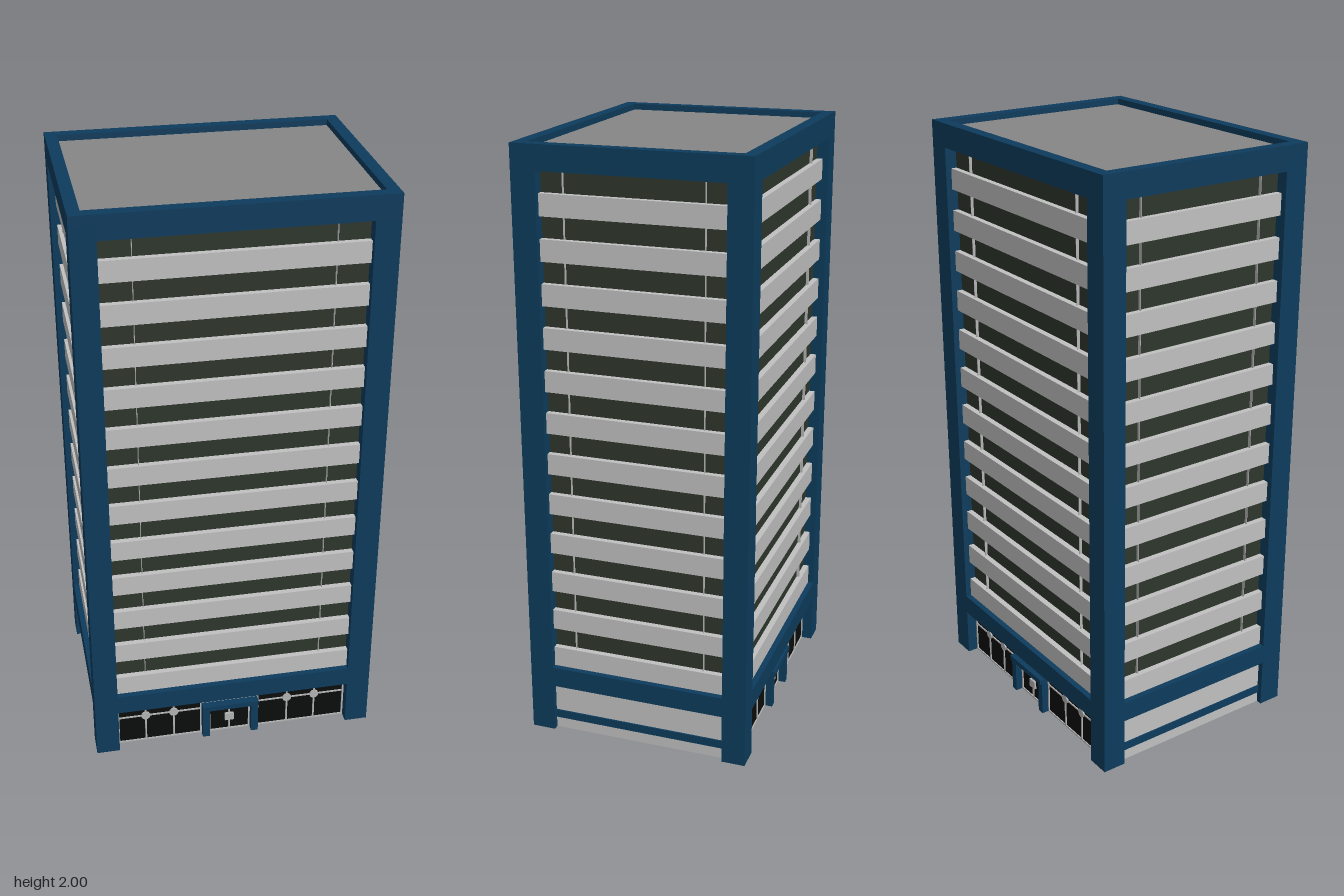
import * as THREE from 'three';

const mat = (name, color) => {
  const m = new THREE.MeshStandardMaterial({ color });
  m.name = name;
  return m;
};

export function createModel() {
  const blue = mat('navy frame', 0x0d3b5c);
  const light = mat('pale panel', 0xc0c0c0);
  const glass = mat('window glass', 0x2e362c);
  const black = mat('shop glass', 0x0b0c0c);
  const metal = mat('metal trim', 0xb4b4b4);
  const grey = mat('roof grey', 0x868686);

  const W = 0.49, D = 0.38, P = 0.08; // half width, half depth, pillar size
  const FLOORS = 12, Y0 = 0.24, PITCH = 0.14;
  const model = new THREE.Group();
  model.name = 'officeTower';

  // Box given by its limits on each axis
  const box = (parent, name, m, x0, x1, y0, y1, z0, z1) => {
    const mesh = new THREE.Mesh(new THREE.BoxGeometry(x1 - x0, y1 - y0, z1 - z0), m);
    mesh.position.set((x0 + x1) / 2, (y0 + y1) / 2, (z0 + z1) / 2);
    mesh.name = name;
    parent.add(mesh);
  };

  // Horizontal ring around the whole plan
  const ring = (name, y0, y1, t) => {
    const rect = (C, w, d) => new C([[-w, -d], [w, -d], [w, d], [-w, d]].map(p => new THREE.Vector2(...p)));
    const shape = rect(THREE.Shape, W, D);
    shape.holes.push(rect(THREE.Path, W - t, D - t));
    const geo = new THREE.ExtrudeGeometry(shape, { depth: y1 - y0, bevelEnabled: false });
    geo.rotateX(-Math.PI / 2);
    const mesh = new THREE.Mesh(geo, blue);
    mesh.position.y = y0;
    mesh.name = name;
    model.add(mesh);
  };

  // Frame: corner pillars, parapet, belt and roof
  for (const sx of [-1, 1]) for (const sz of [-1, 1]) {
    const x = sx * (W - P / 2), z = sz * (D - P / 2);
    box(model, 'cornerPillar', blue, x - P / 2, x + P / 2, 0, 1.97, z - P / 2, z + P / 2);
  }
  ring('parapet', 1.92, 2, 0.04);
  ring('belt', 0.17, Y0, 0.05);
  box(model, 'roof', grey, -W + 0.04, W - 0.04, 1.972, 1.98, -D + 0.04, D - 0.04);

  // Upper storeys of one side, facing +z with its outer plane at z = d
  const addStoreys = (g, h, d) => {
    for (let i = 0; i < FLOORS; i++) {
      const y = Y0 + i * PITCH;
      box(g, 'spandrel', light, -h, h, y, y + 0.07, d - 0.05, d - 0.02);
      box(g, 'windowBand', glass, -h, h, y + 0.07, y + PITCH, d - 0.046, d - 0.04);
      for (const x of [-0.75 * h, 0.75 * h])
        box(g, 'windowFin', metal, x - 0.001, x + 0.001, y + 0.07, y + PITCH, d - 0.048, d - 0.03);
    }
  };

  // Ground floor with shop windows and a porch
  const addEntrance = (g, h, d) => {
    const z = d - 0.04, f = z + 0.004;
    for (const [x0, x1, bars] of [[-h, -0.11, [-0.31, -0.21]], [0.09, h, [0.2, 0.3]]]) {
      box(g, 'shopWindow', black, x0, x1, 0, 0.17, z - 0.006, z);
      for (const x of [x0 + 0.003, ...bars, x1 - 0.003])
        box(g, 'shopMullion', metal, x - 0.003, x + 0.003, 0, 0.17, z - 0.008, f);
      for (const y of [0.003, 0.112, 0.166])
        box(g, 'shopRail', metal, x0, x1, y - 0.0025, y + 0.0025, z - 0.008, f);
      for (const x of bars) {
        const disc = new THREE.Mesh(new THREE.CylinderGeometry(0.016, 0.016, 0.008, 16), metal);
        disc.rotation.x = Math.PI / 2;
        disc.position.set(x, 0.112, z + 0.002);
        disc.name = 'windowDisc';
        g.add(disc);
      }
    }
    // Porch surround and canopy
    box(g, 'transomGlass', black, -0.11, 0.09, 0.125, 0.17, z - 0.006, z);
    box(g, 'porchBar', metal, -0.11, 0.09, 0.143, 0.153, z - 0.006, z + 0.012);
    box(g, 'canopy', blue, -0.11, 0.09, 0.12, 0.139, z - 0.01, d - 0.005);
    box(g, 'canopyHead', blue, -0.11, 0.09, 0.156, 0.17, z - 0.01, d - 0.015);
    for (const x of [-0.11, 0.065])
      box(g, 'porchPost', blue, x, x + 0.025, 0, 0.12, z - 0.01, d - 0.012);
    // Double door
    box(g, 'door', black, -0.085, 0.065, 0, 0.12, z - 0.006, z);
    for (const x of [-0.085, -0.013, 0.059])
      box(g, 'doorStile', metal, x, x + 0.006, 0, 0.12, z - 0.008, f);
    for (const y of [0, 0.114])
      box(g, 'doorRail', metal, -0.085, 0.065, y, y + 0.006, z - 0.008, f);
    box(g, 'doorHandle', metal, -0.026, 0.006, 0.045, 0.075, z, z + 0.008);
  };

  // Ground floor of the plain sides
  const addPlinth = (g, h, d) => {
    box(g, 'basePanel', light, -h, h, 0, 0.04, d - 0.05, d - 0.02);
    box(g, 'baseStripe', blue, -h, h, 0.04, 0.068, d - 0.052, d - 0.015);
    box(g, 'wallPanel', light, -h, h, 0.068, 0.172, d - 0.05, d - 0.02);
  };

  ['front', 'left', 'back', 'right'].forEach((name, k) => {
    const side = k % 2 === 1;
    const h = (side ? D : W) - P, d = side ? W : D;
    const g = new THREE.Group();
    g.name = name + 'Facade';
    addStoreys(g, h, d);
    (side ? addPlinth : addEntrance)(g, h, d);
    g.rotation.y = k * Math.PI / 2;
    model.add(g);
  });
  return model;
}
